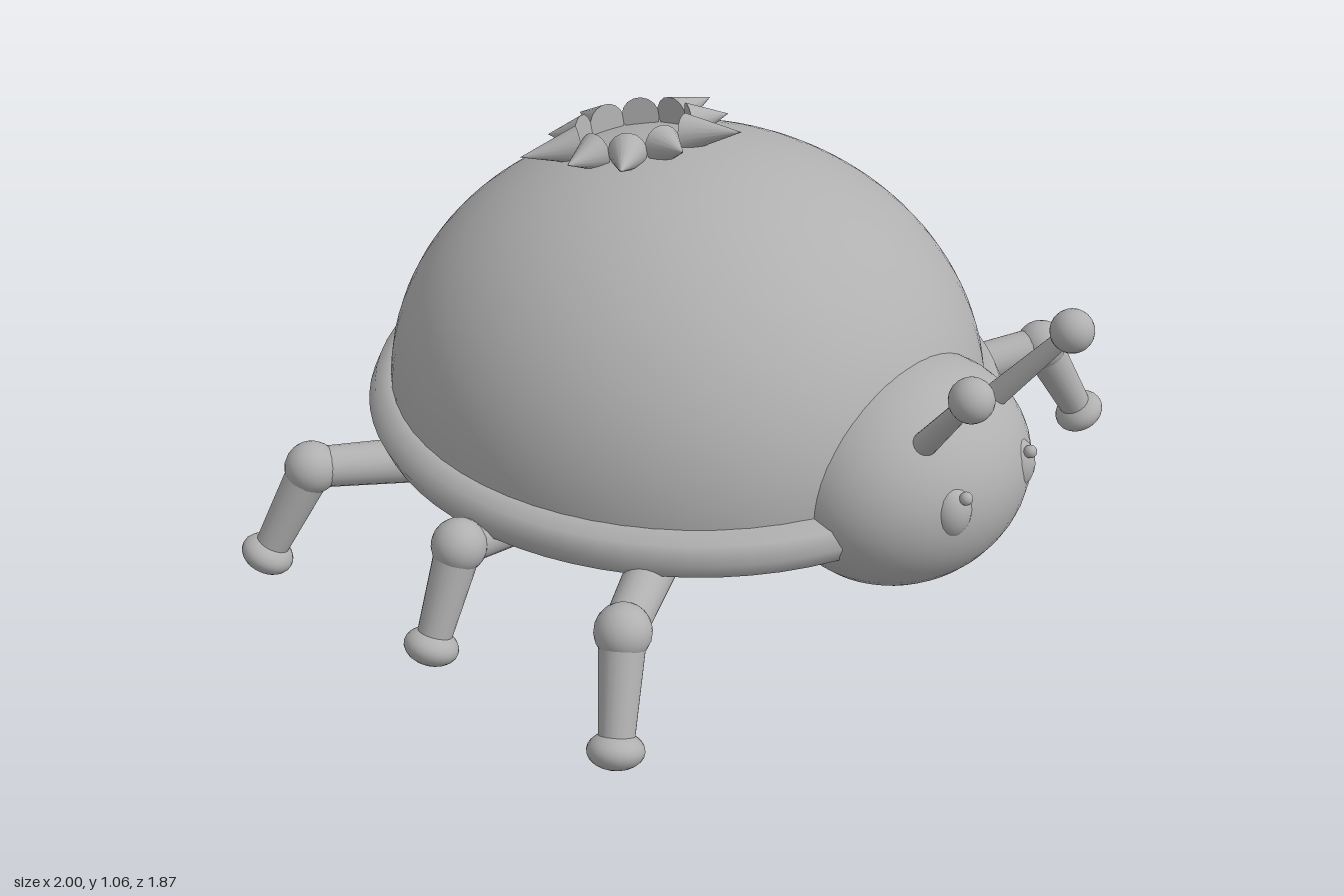
import * as THREE from 'three';

export function createModel() {
  const model = new THREE.Group();
  model.name = 'beetle';
  const grey = new THREE.MeshStandardMaterial({ color: 0xb0b0b0 });
  grey.name = 'grey';
  const V = (x, y, z) => new THREE.Vector3(x, y, z);
  const UP = V(0, 1, 0);

  function add(parent, name, geometry, position) {
    const mesh = new THREE.Mesh(geometry, grey);
    mesh.name = name;
    mesh.position.copy(position);
    parent.add(mesh);
    return mesh;
  }
  function ellipsoid(parent, name, center, rx, ry, rz, segments = 32) {
    const mesh = add(parent, name, new THREE.SphereGeometry(1, segments, segments / 2), center);
    mesh.scale.set(rx, ry, rz);
    return mesh;
  }
  // Tapered rod from a to b
  function rod(parent, name, a, b, ra, rb) {
    const dir = b.clone().sub(a);
    const mesh = add(parent, name, new THREE.CylinderGeometry(rb, ra, dir.length(), 20),
      a.clone().add(b).multiplyScalar(0.5));
    mesh.quaternion.setFromUnitVectors(UP, dir.normalize());
    return mesh;
  }

  // Domed shell with a flat underside
  const shell = add(model, 'shell',
    new THREE.SphereGeometry(1, 64, 24, 0, Math.PI * 2, 0, Math.PI / 2), V(0, 0.36, -0.11));
  shell.scale.set(0.73, 0.63, 0.767);
  const base = add(model, 'shellUnderside', new THREE.CircleGeometry(1, 64), V(0, 0.33, -0.11));
  base.rotation.x = Math.PI / 2;
  base.scale.set(0.73, 0.767, 1);

  // Rim around the shell
  const rimGeometry = new THREE.TorusGeometry(0.727, 0.06, 8, 72);
  rimGeometry.rotateX(Math.PI / 2);
  add(model, 'rim', rimGeometry, V(0, 0.33, -0.11)).scale.z = 1.05;

  // Belly and head
  ellipsoid(model, 'belly', V(0, 0.27, -0.1), 0.61, 0.23, 0.66, 56);
  ellipsoid(model, 'head', V(0, 0.37, 0.57), 0.34, 0.27, 0.29, 48);

  for (const side of [-1, 1]) {
    const label = side > 0 ? 'left' : 'right';

    // Eyes
    ellipsoid(model, label + 'Eye', V(side * 0.13, 0.405, 0.8), 0.053, 0.068, 0.048, 24);
    ellipsoid(model, label + 'Pupil', V(side * 0.13, 0.455, 0.841), 0.016, 0.016, 0.016, 16);

    // Antennae
    const tip = V(side * 0.2, 0.765, 0.885);
    rod(model, label + 'Antenna', V(side * 0.137, 0.55, 0.72), tip, 0.03, 0.02);
    ellipsoid(model, label + 'AntennaTip', tip, 0.052, 0.052, 0.052, 24);

    // Three legs, the outer two splayed
    [['Front', 1], ['Middle', 0], ['Rear', -1]].forEach(([row, k]) => {
      const leg = new THREE.Group();
      leg.name = label + row + 'Leg';
      model.add(leg);
      const mid = -0.093;
      const hip = V(side * 0.46, 0.225, mid + k * 0.305);
      const knee = V(side * 0.83, 0.28, mid + k * 0.515);
      const ankle = V(side * 0.938, 0.05, mid + k * 0.585);
      rod(leg, 'upperLeg', hip, knee, 0.062, 0.05);
      ellipsoid(leg, 'knee', knee, 0.066, 0.066, 0.066, 24);
      const shin = rod(leg, 'lowerLeg', knee, ankle, 0.055, 0.04);
      const foot = ellipsoid(leg, 'foot', ankle, 0.066, 0.044, 0.066, 24);
      foot.quaternion.copy(shin.quaternion);
    });
  }

  // Ring of alternating long and short spikes lying on the shell
  const crown = new THREE.Group();
  crown.name = 'spikeRing';
  crown.position.set(0, 0.985, -0.275);
  crown.rotation.x = -0.19;
  model.add(crown);
  for (let i = 0; i < 10; i++) {
    const inner = 0.14, outer = i % 2 ? 0.24 : 0.288;
    const a = i * Math.PI / 5;
    const dir = V(Math.cos(a), 0, Math.sin(a));
    const spike = add(crown, 'spike', new THREE.ConeGeometry(0.048, outer - inner, 16),
      dir.clone().multiplyScalar((inner + outer) / 2));
    spike.quaternion.setFromUnitVectors(UP, dir);
  }
  return model;
}
